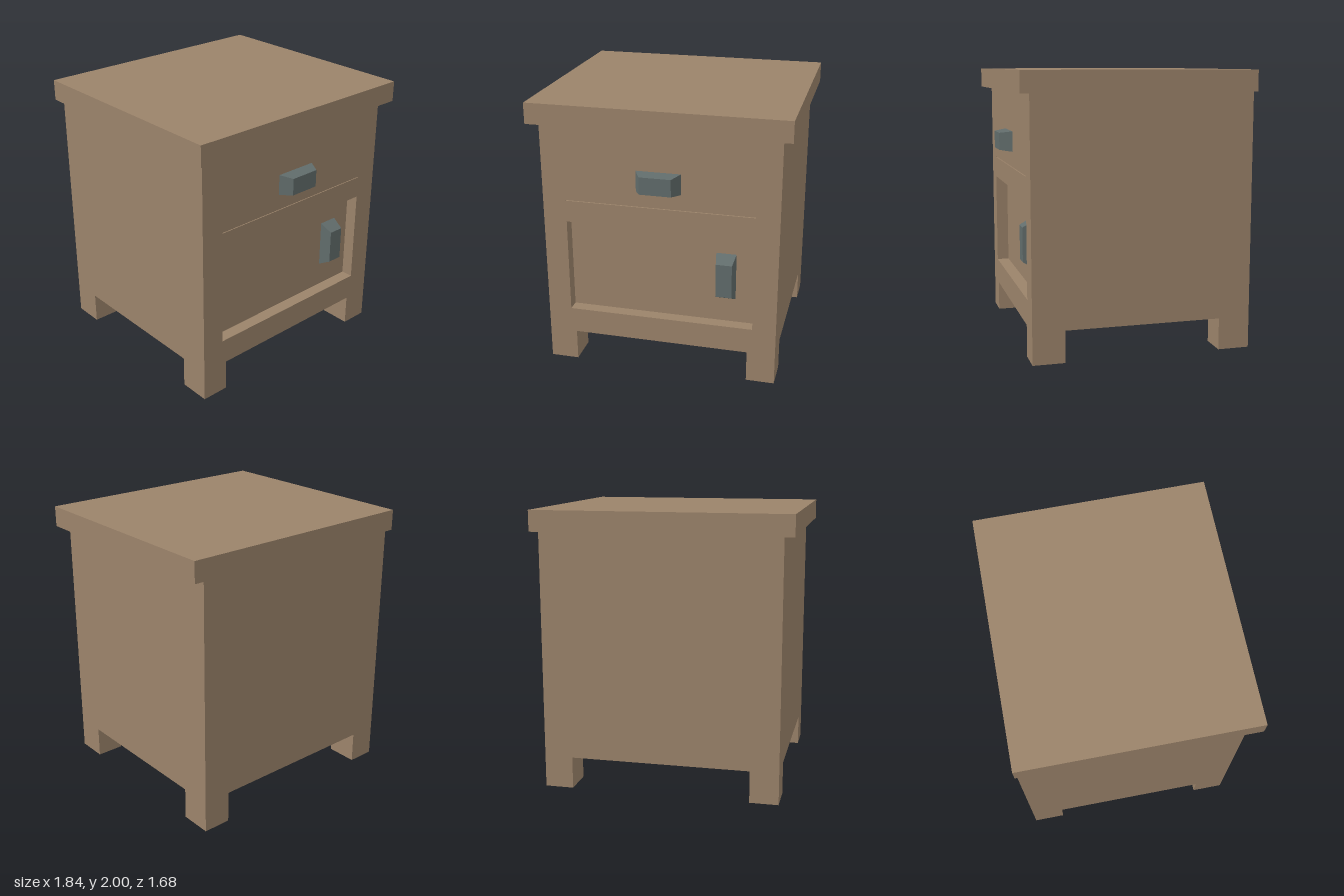
import * as THREE from 'three';

const wood = new THREE.MeshStandardMaterial({ color: 0x9b836a });
const metal = new THREE.MeshStandardMaterial({ color: 0x616c6b });

// Box given by its minimum and maximum corners
function box(name, [x0, y0, z0], [x1, y1, z1]) {
  const geo = new THREE.BoxGeometry(x1 - x0, y1 - y0, z1 - z0);
  const mesh = new THREE.Mesh(geo, wood);
  mesh.name = name;
  mesh.position.set((x0 + x1) / 2, (y0 + y1) / 2, (z0 + z1) / 2);
  return mesh;
}

// Rectangular outline, used for the front frame and its openings
function rect(PathType, x0, y0, x1, y1) {
  return new PathType([[x0, y0], [x1, y0], [x1, y1], [x0, y1]].map(p => new THREE.Vector2(...p)));
}

// Block handle whose front face is smaller than its base
function handle(name, width, height, frontWidth, frontHeight, depth) {
  const geo = new THREE.BoxGeometry(width, height, depth).toNonIndexed();
  const pos = geo.attributes.position;
  for (let i = 0; i < pos.count; i++) {
    if (pos.getZ(i) > 0) {
      pos.setX(i, Math.sign(pos.getX(i)) * frontWidth / 2);
      pos.setY(i, Math.sign(pos.getY(i)) * frontHeight / 2);
    }
  }
  geo.translate(0, 0, depth / 2);
  geo.computeVertexNormals();
  const mesh = new THREE.Mesh(geo, metal);
  mesh.name = name;
  return mesh;
}

export function createModel() {
  const model = new THREE.Group();
  model.name = 'nightstand';
  const back = -0.84, front = 0.75, panel = 0.66;

  // Cabinet and overhanging top, flush at the back
  model.add(box('cabinetBody', [-0.85, 0.23, back], [0.85, 1.85, panel]));
  model.add(box('tableTop', [-0.92, 1.85, back], [0.92, 2, 0.825]));

  // Front frame with the recessed door opening and the thin drawer gap
  const frame = rect(THREE.Shape, -0.85, 0.23, 0.85, 1.85);
  frame.holes.push(rect(THREE.Path, -0.68, 0.42, 0.68, 1.12));
  frame.holes.push(rect(THREE.Path, -0.68, 1.28, 0.68, 1.285));
  const frameGeo = new THREE.ExtrudeGeometry(frame, { depth: front - panel, bevelEnabled: false });
  const frontFrame = new THREE.Mesh(frameGeo, wood);
  frontFrame.name = 'frontFrame';
  frontFrame.position.z = panel;
  model.add(frontFrame);

  // Four corner legs
  for (const [side, x0, x1] of [['Right', -0.85, -0.645], ['Left', 0.645, 0.85]]) {
    model.add(box(`front${side}Leg`, [x0, 0, 0.52], [x1, 0.23, front]));
    model.add(box(`back${side}Leg`, [x0, 0, back], [x1, 0.23, -0.61]));
  }

  // Drawer handle on the frame, door handle inside the recess
  const drawerHandle = handle('drawerHandle', 0.32, 0.15, 0.225, 0.125, 0.09);
  drawerHandle.position.set(0, 1.475, front);
  const doorHandle = handle('doorHandle', 0.145, 0.35, 0.115, 0.25, 0.09);
  doorHandle.position.set(0.467, 0.777, panel);
  model.add(drawerHandle, doorHandle);

  return model;
}
